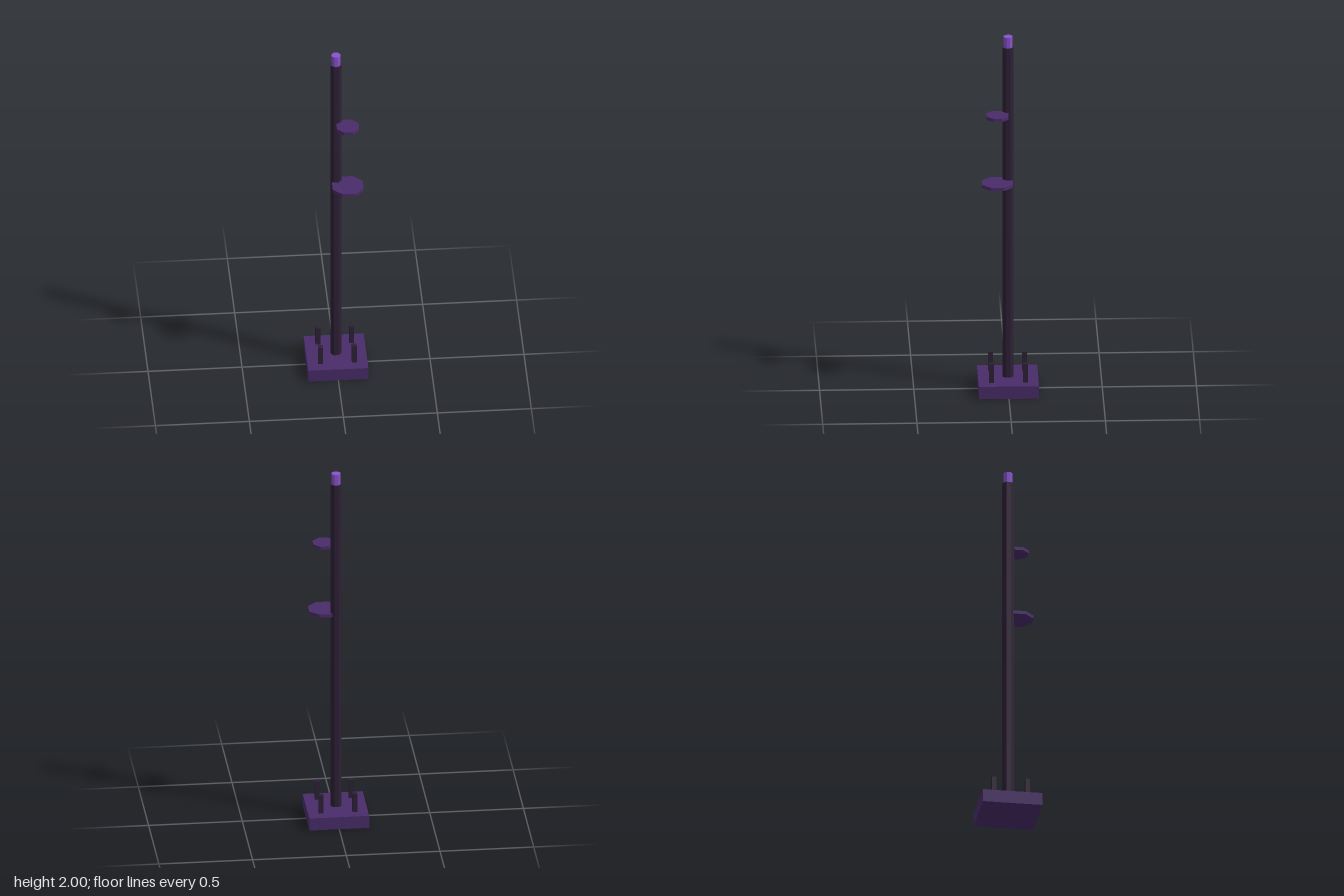
import * as THREE from 'three';

export function createModel() {
  const model = new THREE.Group();
  model.name = 'fungusPole';

  const material = (name, color) => {
    const m = new THREE.MeshStandardMaterial({ color, flatShading: true });
    m.name = name;
    return m;
  };
  const purple = material('deepPurple', 0x4a2c6a);
  const dark = material('darkBark', 0x2d2036);
  const violet = material('brightViolet', 0x8a52d0);

  const add = (name, geometry, mat, x, y, z) => {
    const mesh = new THREE.Mesh(geometry, mat);
    mesh.name = name;
    mesh.position.set(x, y, z);
    model.add(mesh);
  };

  // Octagonal prism with flats facing the axes, sized by its half width
  const octagon = (halfWidth, height) => {
    const r = halfWidth / Math.cos(Math.PI / 8);
    return new THREE.CylinderGeometry(r, r, height, 8).rotateY(Math.PI / 8);
  };

  // Square base
  add('base', new THREE.BoxGeometry(0.32, 0.07, 0.32), purple, 0, 0.035, 0);

  // Four upright pegs
  for (const x of [-0.09, 0.09]) {
    for (const z of [-0.09, 0.09]) {
      add('peg', new THREE.BoxGeometry(0.026, 0.105, 0.026), dark, x, 0.1225, z);
    }
  }

  // Tall pole and its bright tip
  add('pole', octagon(0.029, 1.87), dark, 0, 1.005, 0);
  add('tip', octagon(0.0235, 0.06), violet, 0, 1.97, 0);

  // Shelf discs offset towards the front left
  add('lowerDisc', octagon(0.082, 0.018), purple, 0.058, 1.183, 0.058);
  add('upperDisc', octagon(0.059, 0.018), purple, 0.058, 1.567, 0.058);

  return model;
}
